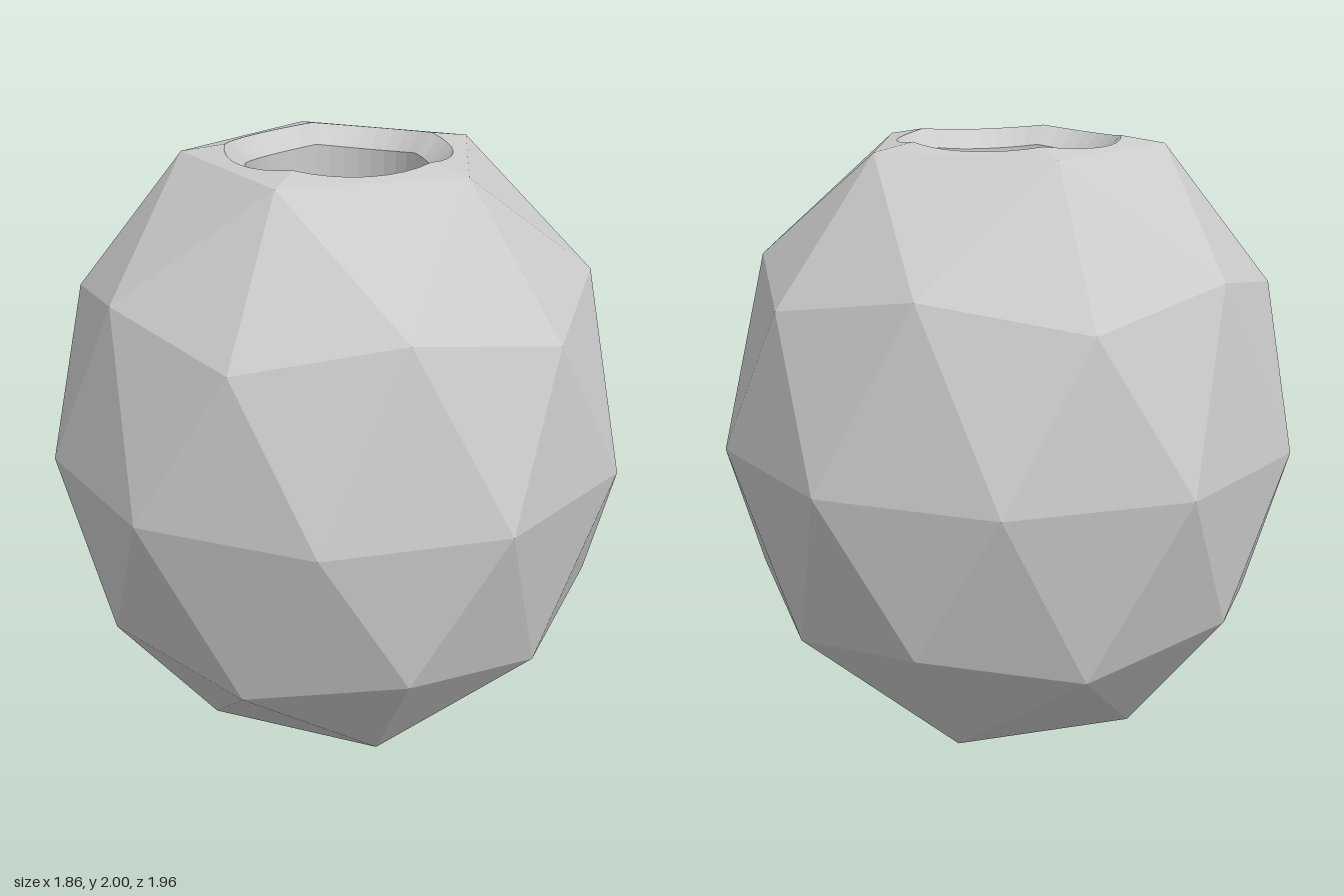
import * as THREE from 'three';

const CENTRE = 1, POLE = 1.063, RIM_Y = 0.975, RIM_R = 0.515;
const CHAMFER_R = 0.37, BORE_R = 0.305, CHAMFER_DEPTH = 0.062;
const STEPS = 8; // bore segments per fifth of a turn

// Point at azimuth (degrees), radius and height above the middle
const polar = (deg, r, y) => {
  const a = THREE.MathUtils.degToRad(deg);
  return new THREE.Vector3(r * Math.cos(a), y, -r * Math.sin(a));
};

// Rings of the upper half of the stretched geodesic ball
const rim = (d) => polar(d, RIM_R, RIM_Y);
const corner = (d) => polar(d, 0.877, 0.513);
const middle = (d) => polar(d, 0.834, 0.602);
const equator = (d) => polar(d, 0.98, 0);

function toGeometry(points) {
  const geometry = new THREE.BufferGeometry().setFromPoints(points);
  geometry.computeVertexNormals();
  return geometry;
}

// Facets from the equator up to the pentagonal rim
function shellGeometry() {
  const points = [];
  for (let a = 0; a < 360; a += 72) {
    const m = middle(a + 36), c = corner(a), r = rim(a);
    const e1 = equator(a + 18), e2 = equator(a + 54);
    points.push(
      r, m, rim(a + 72),
      r, c, m,
      r, middle(a - 36), c,
      c, equator(a - 18), e1,
      c, e1, m,
      m, e1, e2,
      m, e2, corner(a + 72)
    );
  }
  return toGeometry(points);
}

// Radius of the pentagonal rim, and height of the shallow pyramid on it
const pentagonRadius = (d) =>
  RIM_R * Math.cos(Math.PI / 5) / Math.cos(THREE.MathUtils.degToRad((d % 72) - 36));
const capHeight = (d, r) => POLE - (POLE - RIM_Y) * r / pentagonRadius(d);

// Strip of quads joining an outer loop to an inner loop
function bandGeometry(outer, inner) {
  const points = [], step = 72 / STEPS;
  for (let i = 0; i < 5 * STEPS; i++) {
    const d = i * step, e = d + step;
    const a = outer(d), b = outer(e), c = inner(e), f = inner(d);
    points.push(a, b, c, a, c, f);
  }
  return toGeometry(points);
}

export function createModel() {
  const model = new THREE.Group();
  model.name = 'facetedBead';
  const material = new THREE.MeshStandardMaterial({ color: 0xcccccc, flatShading: true });

  const capEdge = (d) => polar(d, pentagonRadius(d), RIM_Y);
  const chamferTop = (d) => polar(d, CHAMFER_R, capHeight(d, CHAMFER_R));
  const chamferFoot = (d) => polar(d, BORE_R, capHeight(d, CHAMFER_R) - CHAMFER_DEPTH);
  const boreMiddle = (d) => polar(d, BORE_R, 0);

  const parts = {
    shell: shellGeometry(),
    cap: bandGeometry(capEdge, chamferTop),
    chamfer: bandGeometry(chamferTop, chamferFoot),
    bore: bandGeometry(chamferFoot, boreMiddle),
  };

  // The lower half is the upper half turned over about z
  for (const [prefix, turn] of [['upper', 0], ['lower', Math.PI]]) {
    const half = new THREE.Group();
    half.name = prefix + 'Half';
    for (const [name, geometry] of Object.entries(parts)) {
      const mesh = new THREE.Mesh(geometry, material);
      mesh.name = prefix + name[0].toUpperCase() + name.slice(1);
      half.add(mesh);
    }
    half.rotation.z = turn;
    half.position.y = CENTRE;
    model.add(half);
  }
  return model;
}
